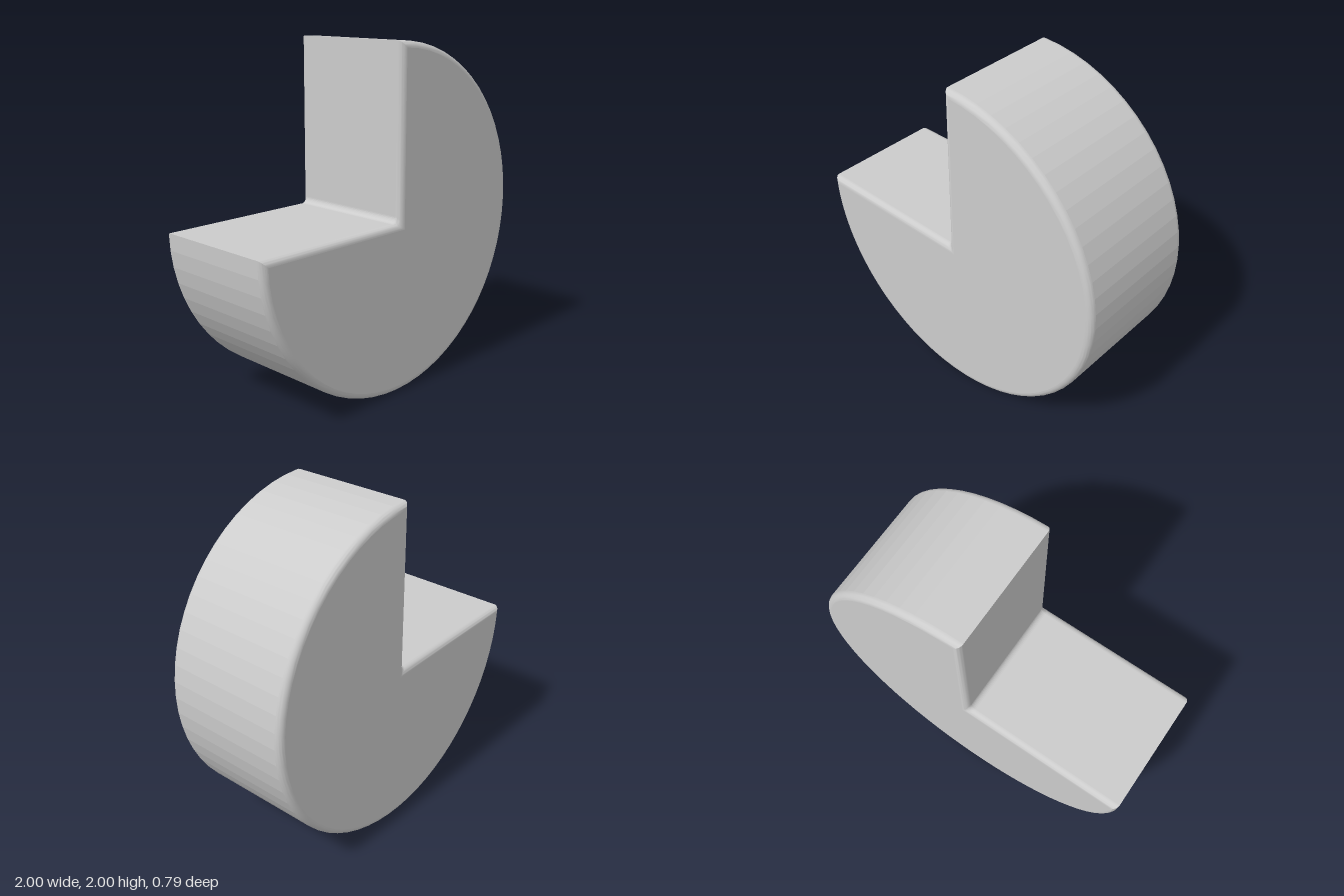
import * as THREE from 'three';
import { toCreasedNormals } from 'three/addons/utils/BufferGeometryUtils.js';

const HALF = 0.395, BEVEL = 0.037;
const ARC = 48, FILLET = 8, STEPS = 8;

// Three-quarter disc outline, shrunk by d, counter-clockwise, at depth z
function outline(d, z) {
  const pts = [], R = 1 - d, e = Math.asin(d / R), r = Math.max(BEVEL - d, 0.001);
  for (let i = 0; i <= ARC; i++) {
    const a = Math.PI + e + (1.5 * Math.PI - 2 * e) * i / ARC;
    pts.push([R * Math.cos(a), 1 + R * Math.sin(a), z]);
  }
  // small fillet where the two notch walls meet
  for (let i = 0; i <= FILLET; i++) {
    const a = -Math.PI / 2 * i / FILLET;
    pts.push([d - r + r * Math.cos(a), 1 - d + r + r * Math.sin(a), z]);
  }
  return pts;
}

function geometry(tris) {
  const g = new THREE.BufferGeometry();
  g.setAttribute('position', new THREE.Float32BufferAttribute(tris.flat(), 3));
  g.computeVertexNormals();
  return g;
}

// Skin between successive closed outlines, running from back to front
function loft(rings) {
  const tris = [];
  for (let k = 0; k + 1 < rings.length; k++) {
    const a = rings[k], b = rings[k + 1], n = a.length;
    for (let i = 0; i < n; i++) {
      const j = (i + 1) % n;
      tris.push(a[i], a[j], b[j], a[i], b[j], b[i]);
    }
  }
  return geometry(tris);
}

// Flat end face as a fan around a point that sees the whole outline
function cap(ring, front) {
  const tris = [], c = [0.3, 0.7, ring[0][2]];
  ring.forEach((p, i) => {
    const q = ring[(i + 1) % ring.length];
    tris.push(c, ...(front ? [p, q] : [q, p]));
  });
  return geometry(tris);
}

export function createModel() {
  const group = new THREE.Group();
  group.name = 'notchedDisc';
  const smooth = new THREE.MeshStandardMaterial({ color: 0xcccccc });
  const flat = new THREE.MeshStandardMaterial({ color: 0xcccccc, flatShading: true });
  const add = (name, geo, mat) => {
    const mesh = new THREE.Mesh(geo, mat);
    mesh.name = name;
    group.add(mesh);
  };

  // Faceted rim and notch walls
  add('rimAndNotchWalls', loft([outline(0, BEVEL - HALF), outline(0, HALF - BEVEL)]), flat);

  // Rounded edge and end face on each side
  for (const side of [1, -1]) {
    const rings = [];
    for (let k = 0; k <= STEPS; k++) {
      const t = Math.PI / 2 * k / STEPS;
      rings.push(outline(BEVEL * (1 - Math.cos(t)), side * (HALF - BEVEL + BEVEL * Math.sin(t))));
    }
    const label = side > 0 ? 'front' : 'back';
    add(label + 'Face', cap(rings[STEPS], side > 0), flat);
    if (side < 0) rings.reverse();
    add(label + 'RoundedEdge', toCreasedNormals(loft(rings), 0.6), smooth);
  }
  return group;
}
